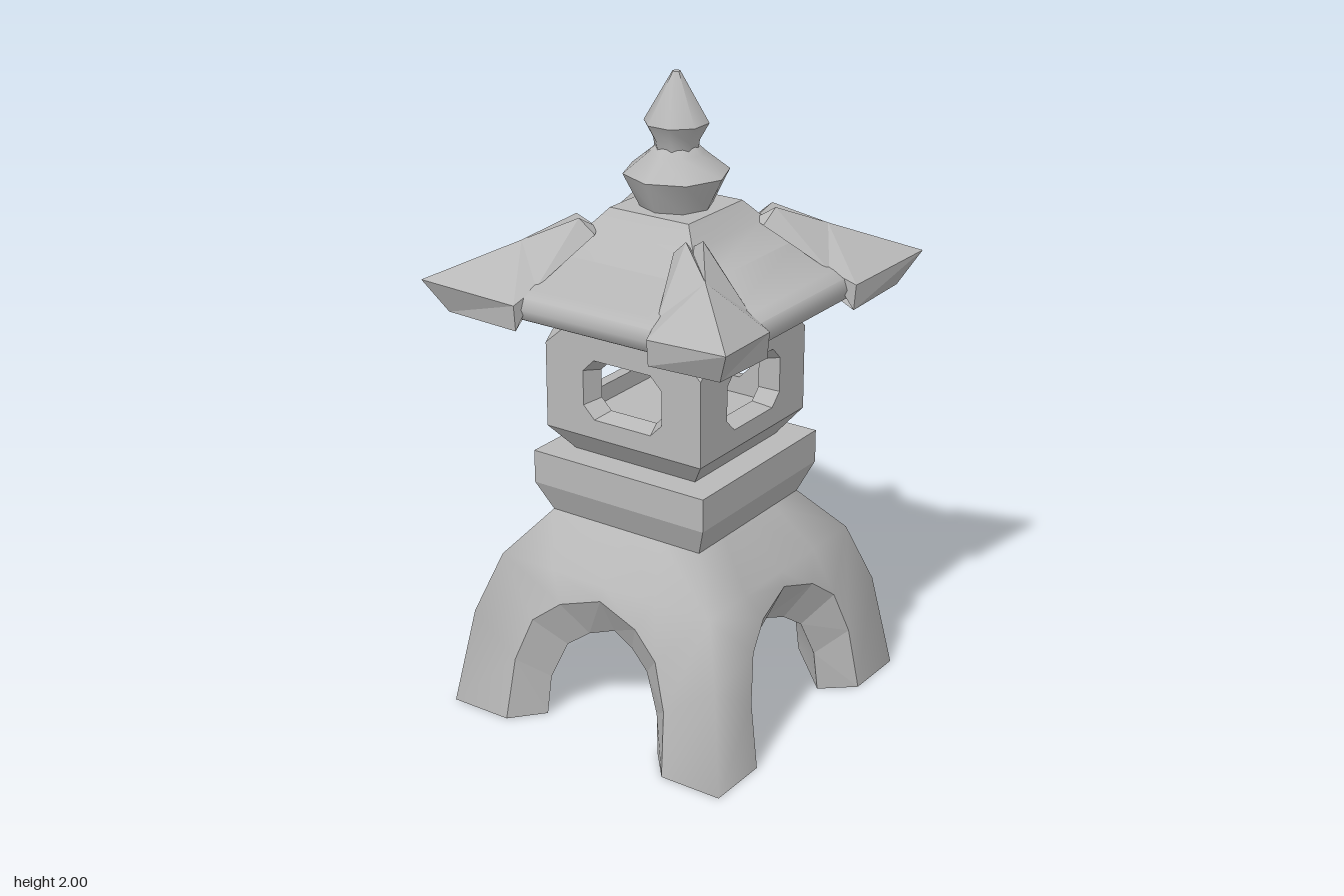
import * as THREE from 'three';
import { mergeVertices, toCreasedNormals } from 'three/addons/utils/BufferGeometryUtils.js';

const stone = new THREE.MeshStandardMaterial({ color: 0xb8b8b8, side: THREE.DoubleSide });
stone.name = 'grey stone';

// Polygons are lists of [x, y, z] corners, anticlockwise from outside
const mirrorX = (p) => p.map(([x, y, z]) => [-x, y, z]).reverse();
const mirrorDiagonal = (p) => p.map(([x, y, z]) => [z, y, x]).reverse();
const withMirror = (polys, mirror) => [...polys, ...polys.map(mirror)];

function fourWay(polys) {
  const out = [];
  let turned = polys;
  for (let i = 0; i < 4; i++) {
    out.push(...turned);
    turned = turned.map((p) => p.map(([x, y, z]) => [z, y, -x]));
  }
  return out;
}

function polyGeometry(polys) {
  const positions = [];
  for (const p of polys) {
    for (let i = 1; i < p.length - 1; i++) positions.push(...p[0], ...p[i], ...p[i + 1]);
  }
  const geometry = new THREE.BufferGeometry();
  geometry.setAttribute('position', new THREE.Float32BufferAttribute(positions, 3));
  geometry.computeVertexNormals();
  return geometry;
}

function part(name, geometry) {
  const mesh = new THREE.Mesh(geometry, stone);
  mesh.name = name;
  return mesh;
}

// Stack of square rings given as [half width, height]
function squareTiers(rings) {
  const polys = [];
  for (let i = 0; i < rings.length - 1; i++) {
    const [a, y0] = rings[i];
    const [b, y1] = rings[i + 1];
    polys.push([[-a, y0, a], [a, y0, a], [b, y1, b], [-b, y1, b]]);
  }
  return polyGeometry(fourWay(polys));
}

// Domed base with four arches and four legs
function createBase() {
  const group = new THREE.Group();
  group.name = 'archedBase';
  const profile = [[0.5, 0], [0.45, 0.31], [0.385, 0.5], [0.27, 0.64]];
  const depthAt = (y) => {
    let i = 0;
    while (i < 2 && y > profile[i + 1][1]) i++;
    const [[a, y0], [b, y1]] = [profile[i], profile[i + 1]];
    return a + (b - a) * (y - y0) / (y1 - y0);
  };
  const onDome = ([x, y]) => [x, y, depthAt(y)];
  const arch = [[0.295, 0], [0.28, 0.2], [0.23, 0.34], [0.14, 0.41], [0, 0.455]].map(onDome);
  const shoulder = [[0.5, 0], [0.45, 0.31], [0.385, 0.5], [0.19, 0.5], [0, 0.5]].map(onDome);
  const rim = [[0.27, 0.64], [0.135, 0.64], [0, 0.64]].map(onDome);
  const inner = [[0.21, 0, 0.4], [0.2, 0.13, 0.39], [0.15, 0.25, 0.37], [0.08, 0.3, 0.35], [0, 0.325, 0.33]];

  const shell = [], tunnel = [], inside = [];
  for (let j = 0; j < 4; j++) {
    shell.push([arch[j], shoulder[j], shoulder[j + 1], arch[j + 1]]);
    tunnel.push([arch[j], arch[j + 1], inner[j + 1], inner[j]]);
    const swap = ([x, y, z]) => [z, y, x];
    inside.push([swap(inner[j]), inner[j], inner[j + 1], swap(inner[j + 1])]);
  }
  for (let k = 0; k < 2; k++) shell.push([shoulder[k + 2], rim[k], rim[k + 1], shoulder[k + 3]]);
  inside.push([[0.33, 0.325, 0], [0, 0.325, 0.33], [0, 0.325, 0]]);
  const foot = [[0.21, 0, 0.4], [0.4, 0, 0.21], [0.5, 0, 0.295], [0.5, 0, 0.5], [0.295, 0, 0.5]];

  const smooth = (polys) => {
    const geometry = polyGeometry(fourWay(polys));
    geometry.deleteAttribute('normal');
    const merged = mergeVertices(geometry, 1e-4);
    merged.computeVertexNormals();
    return merged;
  };
  group.add(
    part('domeShell', smooth(withMirror(shell, mirrorX))),
    part('archReveals', polyGeometry(fourWay(withMirror(tunnel, mirrorX)))),
    part('domeInside', smooth(inside)),
    part('feet', polyGeometry(fourWay([foot])))
  );
  return group;
}

// Hollow lantern box with an eight-sided window in each wall
function createLantern() {
  const group = new THREE.Group();
  group.name = 'lanternBox';
  const octagon = (w, y0, y1, c) => [
    [-w + c, y0], [w - c, y0], [w, y0 + c], [w, y1 - c],
    [w - c, y1], [-w + c, y1], [-w, y1 - c], [-w, y0 + c]
  ];
  const outerHole = octagon(0.142, 0.98, 1.17, 0.04);
  const innerHole = octagon(0.118, 0.995, 1.155, 0.035);
  const panel = (outline, hole, z) => {
    const shape = new THREE.Shape(outline.map(([x, y]) => new THREE.Vector2(x, y)));
    shape.holes.push(new THREE.Path(hole.map(([x, y]) => new THREE.Vector2(x, y))));
    return new THREE.ShapeGeometry(shape).translate(0, 0, z);
  };
  const front = panel([[-0.28, 0.92], [0.28, 0.92], [0.28, 1.19], [0.2, 1.26], [-0.2, 1.26], [-0.28, 1.19]], outerHole, 0.28);
  // Inner wall faces the hollow, so it is turned round
  const back = panel([[-0.22, 0.94], [0.22, 0.94], [0.22, 1.22], [-0.22, 1.22]], innerHole, -0.22).rotateY(Math.PI);
  const reveal = polyGeometry(outerHole.map(([x, y], i) => {
    const n = (i + 1) % 8;
    return [[x, y, 0.28], [...outerHole[n], 0.28], [...innerHole[n], 0.22], [...innerHole[i], 0.22]];
  }));
  const edges = polyGeometry([
    [[-0.22, 0.84, 0.22], [0.22, 0.84, 0.22], [0.28, 0.92, 0.28], [-0.28, 0.92, 0.28]],
    [[0.28, 1.19, 0.28], [0.28, 1.26, 0.2], [0.2, 1.26, 0.28]]
  ]);
  back.rotateY(Math.PI).scale(1, 1, -1);
  back.rotateY(Math.PI);
  back.computeBoundingBox();
  if (back.boundingBox.max.z < 0) back.rotateY(Math.PI);
  for (let i = 0; i < 4; i++) {
    const side = new THREE.Group();
    side.name = 'lanternSide';
    side.rotation.y = i * Math.PI / 2;
    side.add(part('outerWall', front), part('innerWall', back), part('windowReveal', reveal), part('chamfers', edges));
    group.add(side);
  }
  const floor = part('lanternFloor', new THREE.PlaneGeometry(0.44, 0.44).rotateX(-Math.PI / 2));
  floor.position.y = 0.94;
  const ceiling = part('lanternCeiling', new THREE.PlaneGeometry(0.44, 0.44).rotateX(Math.PI / 2));
  ceiling.position.y = 1.22;
  group.add(floor, ceiling);
  return group;
}

// Flared corner of the roof with a forked ridge
function createRoofCorners() {
  const tip = [0.535, 1.41, 0.535], under = [0.48, 1.305, 0.48];
  const eaveTop = [0.235, 1.375, 0.482], eaveLow = [0.235, 1.295, 0.475];
  const root = [0.215, 1.41, 0.4], ridge = [0.325, 1.515, 0.325];
  const prong = [0.19, 1.58, 0.225], prongEnd = [0.14, 1.535, 0.215];
  const groove = [0.165, 1.54, 0.165], hidden = [0.3, 1.33, 0.3];
  const half = [
    [tip, eaveTop, eaveLow, under],
    [tip, ridge, eaveTop],
    [ridge, root, eaveTop],
    [ridge, prong, root],
    [prong, prongEnd, root],
    [ridge, groove, prong],
    [prong, groove, prongEnd],
    [eaveTop, root, eaveLow],
    [under, eaveLow, hidden]
  ];
  return part('roofCorners', polyGeometry(fourWay(withMirror(half, mirrorDiagonal))));
}

// Pointed bud on top of the roof
function createFinial() {
  const group = new THREE.Group();
  group.name = 'finial';
  const lathe = (name, points) => part(name, toCreasedNormals(
    new THREE.LatheGeometry(points.map(([r, y]) => new THREE.Vector2(r, y)), 8), 0.9));
  const bud = lathe('finialBud', [[0, 1.59], [0.11, 1.6], [0.16, 1.7], [0.085, 1.76], [0.065, 1.78], [0, 1.78]]);
  const cap = lathe('finialCap', [[0, 1.75], [0.062, 1.75], [0.07, 1.8], [0.098, 1.85], [0.012, 2], [0, 2]]);
  cap.rotation.y = Math.PI / 8;
  group.add(bud, cap);
  return group;
}

export function createModel() {
  const model = new THREE.Group();
  model.name = 'stoneLantern';
  const roof = squareTiers([
    [0, 1.26], [0.27, 1.26], [0.41, 1.305], [0.44, 1.32], [0.455, 1.355],
    [0.445, 1.39], [0.41, 1.41], [0.27, 1.475], [0.19, 1.54], [0.14, 1.6], [0, 1.6]
  ]);
  model.add(
    createBase(),
    part('plinth', squareTiers([[0, 0.64], [0.27, 0.64], [0.31, 0.735], [0.31, 0.84], [0, 0.84]])),
    createLantern(),
    part('roof', toCreasedNormals(roof, 0.8)),
    createRoofCorners(),
    createFinial()
  );
  return model;
}
